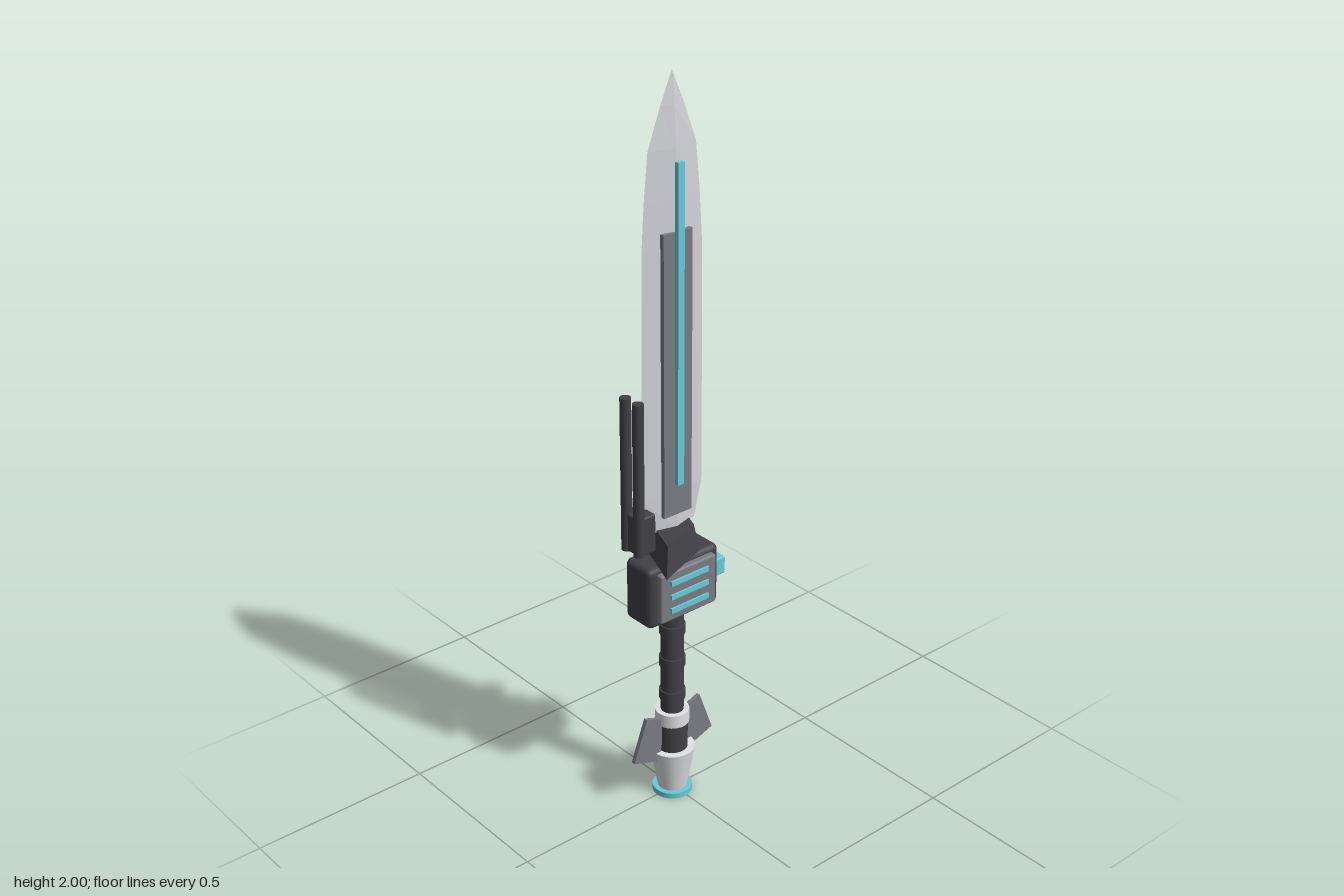
import * as THREE from 'three';
import { RoundedBoxGeometry } from 'three/addons/geometries/RoundedBoxGeometry.js';

const mat = (name, color) => {
  const m = new THREE.MeshStandardMaterial({ color });
  m.name = name;
  return m;
};

// Joins equal-sized rings of [x, y, z] corners into a flat-faced, capped solid
function loft(rings) {
  const pos = [];
  const tri = (a, b, c) => pos.push(...a, ...b, ...c);
  const n = rings[0].length;
  for (let r = 0; r < rings.length - 1; r++) {
    for (let i = 0; i < n; i++) {
      const j = (i + 1) % n, lo = rings[r], hi = rings[r + 1];
      tri(lo[i], hi[i], hi[j]);
      tri(lo[i], hi[j], lo[j]);
    }
  }
  const first = rings[0], last = rings[rings.length - 1];
  for (let i = 1; i < n - 1; i++) {
    tri(first[0], first[i], first[i + 1]);
    tri(last[0], last[i + 1], last[i]);
  }
  const g = new THREE.BufferGeometry();
  g.setAttribute('position', new THREE.Float32BufferAttribute(pos, 3));
  g.computeVertexNormals();
  return g;
}

export function createModel() {
  const model = new THREE.Group();
  model.name = 'sword';
  const sword = new THREE.Group();
  sword.name = 'swordParts';
  sword.position.z = 0.006;
  model.add(sword);

  const steel = mat('bladeSteel', 0xd2d3d7);
  const grey = mat('panelGrey', 0x7a7b83);
  const dark = mat('darkMetal', 0x414146);
  const white = mat('pommelWhite', 0xe0e1e4);
  const cyan = mat('cyanGlow', 0x68cad9);

  const add = (name, geo, material, x = 0, y = 0, z = 0) => {
    const m = new THREE.Mesh(geo, material);
    m.name = name;
    m.position.set(x, y, z);
    sword.add(m);
    return m;
  };
  const box = (name, material, w, h, d, x, y, z) =>
    add(name, new THREE.BoxGeometry(w, h, d), material, x, y, z);
  const rounded = (name, material, w, h, d, r, x, y, z) =>
    add(name, new RoundedBoxGeometry(w, h, d, 2, r), material, x, y, z);
  const cyl = (name, material, rTop, rBottom, y0, y1, x = 0, z = 0) =>
    add(name, new THREE.CylinderGeometry(rTop, rBottom, y1 - y0, 32), material, x, (y0 + y1) / 2, z);

  // Blade: diamond cross-sections [y, half width, half thickness]
  const blade = [
    [0.82, 0.074, 0.02], [0.92, 0.098, 0.021], [1.3, 0.097, 0.02], [1.58, 0.094, 0.02],
    [1.7, 0.086, 0.018], [1.82, 0.074, 0.015], [1.92, 0.036, 0.009], [2, 0.0005, 0.0005],
  ].map(([y, w, t]) => [[t, y, 0], [0, y, w], [-t, y, 0], [0, y, -w]]);
  add('blade', loft(blade), steel);

  // Fuller panel through the blade, with a bright strip on each side
  box('fullerPanel', grey, 0.046, 0.755, 0.09, 0, 1.24, 0);
  for (const s of [-1, 1]) box('bladeStrip', cyan, 0.012, 0.84, 0.02, s * 0.029, 1.37, 0);

  // Slanted guard: a bevelled rhombus
  const rhombus = [[-0.113, -0.114], [0.053, -0.048], [0.113, 0.114], [-0.053, 0.048]];
  const guard = [[0.752, 1], [0.826, 0.78]].map(([y, k]) => rhombus.map(([x, z]) => [x * k, y, z * k]));
  add('guard', loft(guard), dark);
  cyl('guardNeck', dark, 0.035, 0.035, 0.735, 0.76);

  // Housing with raised side panels and bright vents
  rounded('housing', dark, 0.1, 0.174, 0.235, 0.016, 0, 0.658, 0);
  for (const s of [-1, 1]) {
    rounded('sidePanel', grey, 0.03, 0.142, 0.186, 0.006, s * 0.052, 0.659, 0);
    for (const y of [0.62, 0.66, 0.7]) box('ventStripe', cyan, 0.01, 0.014, 0.126, s * 0.068, y, 0);
  }
  rounded('rearButton', cyan, 0.06, 0.05, 0.06, 0.004, 0, 0.658, -0.128);

  // Twin barrels and their mount
  rounded('barrelMount', dark, 0.07, 0.108, 0.054, 0.006, 0, 0.842, 0.109);
  for (const s of [-1, 1]) cyl('barrel', dark, 0.0145, 0.0145, 0.788, 1.21, s * 0.024, 0.129);

  // Grip and its rings
  cyl('grip', dark, 0.031, 0.031, 0.22, 0.59);
  for (const y of [0.515, 0.415, 0.312]) cyl('gripRing', dark, 0.035, 0.035, y - 0.014, y + 0.014);

  // Pommel
  cyl('pommelCollar', white, 0.046, 0.046, 0.224, 0.262);
  cyl('pommelCore', dark, 0.042, 0.042, 0.13, 0.226);
  cyl('pommelCup', white, 0.062, 0.04, 0.016, 0.142);
  cyl('pommelBase', cyan, 0.054, 0.054, 0, 0.016);

  // Fins on the front and rear of the pommel
  const fin = new THREE.Shape([[0.03, 0.24], [0.093, 0.264], [0.137, 0.143], [0.05, 0.112]]
    .map(([a, b]) => new THREE.Vector2(a, b)));
  const finGeo = new THREE.ExtrudeGeometry(fin, { depth: 0.012, bevelEnabled: false });
  finGeo.translate(0, 0, -0.006);
  for (const s of [-1, 1]) add('pommelFin', finGeo, grey).rotation.y = s * Math.PI / 2;

  return model;
}
